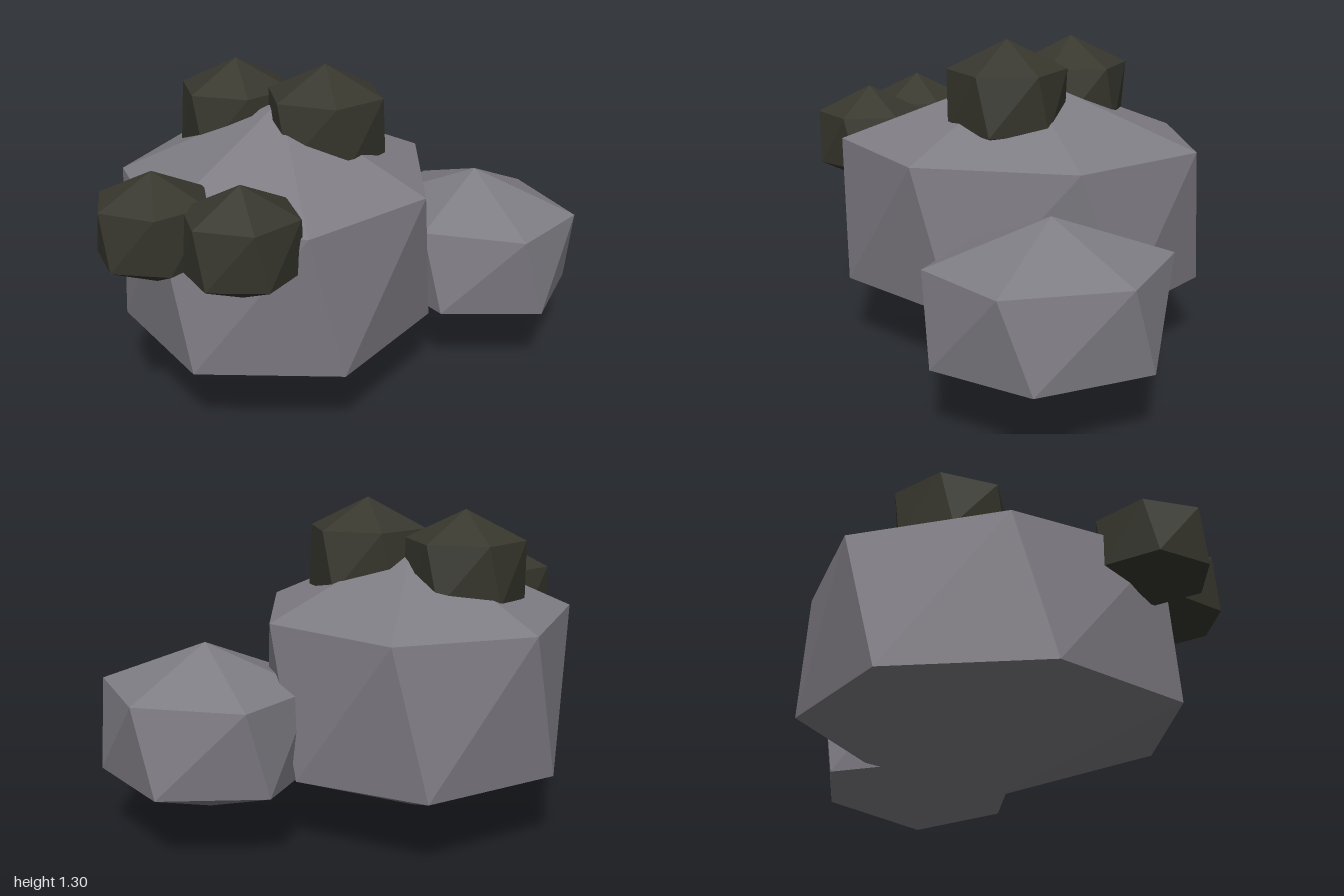
import * as THREE from 'three';

// Faceted stone: two poles and two twisted rings of [x, z] offsets.
// Upper ring point k lies between lower ring points k and k + 1.
function stone(name, material, [cx, cy, cz], halfHeight, upper, lower) {
  const n = upper.length;
  const ring = (points, y) => points.map(([x, z]) => [x, y, z]);
  const T = ring(upper, halfHeight / 2);
  const B = ring(lower, -halfHeight / 2);
  const top = [0, halfHeight, 0];
  const bottom = [0, -halfHeight, 0];
  const corners = [];
  for (let k = 0; k < n; k++) {
    const j = (k + 1) % n;
    corners.push(top, T[j], T[k]);
    corners.push(T[k], T[j], B[j]);
    corners.push(T[k], B[j], B[k]);
    corners.push(bottom, B[k], B[j]);
  }
  const geometry = new THREE.BufferGeometry();
  geometry.setAttribute('position', new THREE.Float32BufferAttribute(corners.flat(), 3));
  geometry.computeVertexNormals();
  const mesh = new THREE.Mesh(geometry, material);
  mesh.name = name;
  mesh.position.set(cx, cy, cz);
  return mesh;
}

// Regular six-sided ring, angle measured from +x towards +z
function hexagon(radius, degrees) {
  return Array.from({ length: 6 }, (_, k) => {
    const a = THREE.MathUtils.degToRad(degrees + 60 * k);
    return [radius * Math.cos(a), radius * Math.sin(a)];
  });
}

export function createModel() {
  const group = new THREE.Group();
  group.name = 'rockCluster';
  const stoneGrey = new THREE.MeshStandardMaterial({ color: 0x7f7d84, flatShading: true });
  stoneGrey.name = 'stoneGrey';
  const darkMoss = new THREE.MeshStandardMaterial({ color: 0x37372e, flatShading: true });
  darkMoss.name = 'darkMoss';

  // Main seven-sided boulder
  group.add(stone('largeBoulder', stoneGrey, [-0.08, 0.57, -0.14], 0.57,
    [[0.26, -0.67], [0.68, -0.31], [0.59, 0.28], [0.05, 0.65], [-0.53, 0.52], [-0.72, -0.01], [-0.36, -0.53]],
    [[0.1, -0.68], [0.62, -0.43], [0.67, 0.11], [0.21, 0.59], [-0.41, 0.6], [-0.72, 0.13], [-0.49, -0.43]]));

  // Six-sided boulder leaning against it
  group.add(stone('smallBoulder', stoneGrey, [0.59, 0.4375, 0.39], 0.333,
    [[0.25, -0.39], [0.4, 0.02], [0.14, 0.41], [-0.26, 0.38], [-0.4, -0.01], [-0.14, -0.4]],
    [[0.17, -0.43], [0.41, -0.09], [0.24, 0.34], [-0.17, 0.43], [-0.41, 0.09], [-0.24, -0.34]]));

  // Dark lumps: centre, radius, turn
  const lumps = [
    ['topFrontLump', [0.005, 1.06, 0.02], 0.24, 15],
    ['topBackLump', [-0.03, 1.037, -0.4], 0.235, 10],
    ['sideBackLump', [-0.78, 0.827, -0.185], 0.22, 16],
    ['sideFrontLump', [-0.7, 0.823, 0.155], 0.22, 9],
  ];
  for (const [name, centre, radius, turn] of lumps) {
    group.add(stone(name, darkMoss, centre, radius * 0.98, hexagon(radius, turn), hexagon(radius, turn - 13)));
  }
  return group;
}
